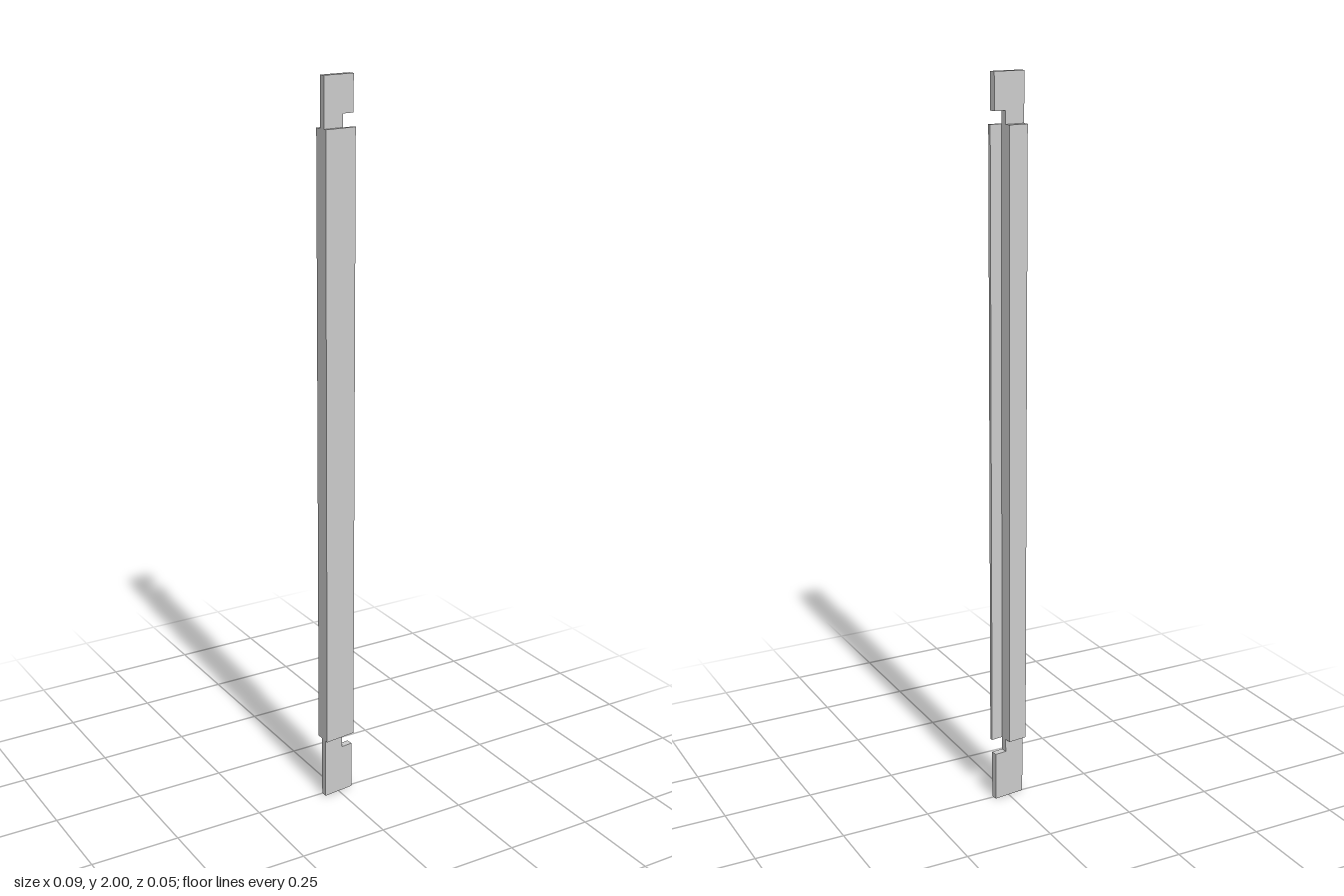
import * as THREE from 'three';

const SLOPE = 0.108;   // slant of the faces across the rail
const LEFT = -0.046;   // square-cut edge
const WIDE = 0.046;    // full width, measured on the front face
const NARROW = 0.013;  // width behind the rebate

// Points of the slanted cross-section at a given depth behind the front face
const at = (x, depth) => [x, 0.026 - depth - SLOPE * (x - LEFT)];
const leftAt = (depth) => at(LEFT, depth);
const rightAt = (width, depth) => at(width - SLOPE * depth, depth);

const FACE = 0.009, TENON_BACK = 0.028, BACK = 0.047;

export function createModel() {
  const group = new THREE.Group();
  const material = new THREE.MeshStandardMaterial({ color: 0xcccccc });

  // Extrudes an (x, z) section upward between two heights
  const addPart = (name, section, bottom, top) => {
    const shape = new THREE.Shape(section.map(([x, z]) => new THREE.Vector2(x, -z)));
    const geometry = new THREE.ExtrudeGeometry(shape, { depth: top - bottom, bevelEnabled: false });
    geometry.rotateX(-Math.PI / 2).translate(0, bottom, 0);
    const mesh = new THREE.Mesh(geometry, material);
    mesh.name = name;
    group.add(mesh);
  };

  const tenon = (width) => [
    leftAt(FACE), rightAt(width, FACE), rightAt(width, TENON_BACK), leftAt(TENON_BACK),
  ];

  // Rebated bar: wide front face with a narrower block behind it
  addPart('rebatedBar', [
    leftAt(0), rightAt(WIDE, 0), rightAt(WIDE, FACE),
    rightAt(NARROW, FACE), rightAt(NARROW, BACK), leftAt(BACK),
  ], 0.175, 1.87);

  // End tenons, each with a narrow neck next to the bar
  addPart('bottomTenon', tenon(WIDE), 0, 0.138);
  addPart('bottomNeck', tenon(NARROW), 0.138, 0.175);
  addPart('topNeck', tenon(NARROW), 1.87, 1.904);
  addPart('topTenon', tenon(WIDE), 1.904, 2);

  return group;
}
